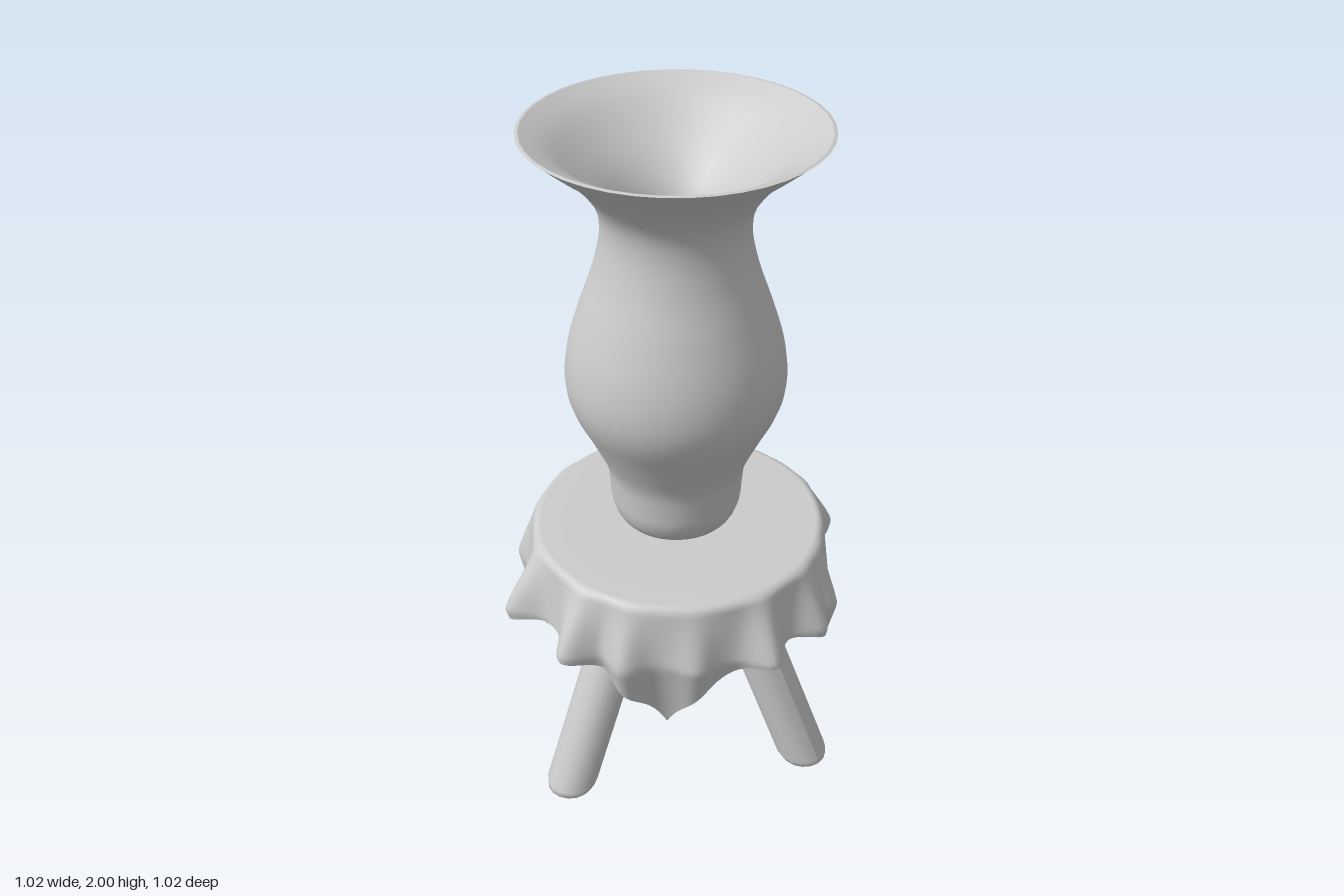
import * as THREE from 'three';

const grey = () => new THREE.MeshStandardMaterial({ color: 0xcccccc, side: THREE.DoubleSide });
const CX = -0.008, CZ = -0.01;

function smoothProfile(points, n) {
  return new THREE.SplineCurve(points.map(([r, y]) => new THREE.Vector2(r, y)))
    .getPoints(n).map(p => new THREE.Vector2(Math.max(p.x, 0), p.y));
}

function named(geometry, name) {
  const mesh = new THREE.Mesh(geometry, grey());
  mesh.name = name;
  return mesh;
}

// Thick-walled vase: outer bulge and an inner funnel that narrows at the neck
function makeVase() {
  const vase = new THREE.Group();
  vase.name = 'vase';
  const outer = smoothProfile([
    [0, 0.822], [0.1, 0.826], [0.155, 0.85], [0.18, 0.9], [0.186, 0.96], [0.196, 1.03], [0.24, 1.13],
    [0.283, 1.22], [0.299, 1.3], [0.289, 1.4], [0.253, 1.52], [0.215, 1.63], [0.195, 1.73],
    [0.207, 1.81], [0.265, 1.89], [0.33, 1.945], [0.393, 1.998]], 64);
  const inner = smoothProfile([
    [0.384, 2], [0.32, 1.965], [0.25, 1.91], [0.17, 1.84], [0.115, 1.77], [0.096, 1.7],
    [0.12, 1.59], [0.17, 1.45], [0.2, 1.3], [0.17, 1.18], [0.11, 1.05], [0.08, 0.96], [0, 0.93]], 52);
  const lip = [outer[outer.length - 1], inner[0]];
  vase.add(named(new THREE.LatheGeometry(outer, 40), 'vaseOuter'));
  vase.add(named(new THREE.LatheGeometry(inner, 40), 'vaseInner'));
  vase.add(named(new THREE.LatheGeometry(lip, 40), 'vaseLip'));
  vase.position.set(CX, 0, CZ);
  return vase;
}

// Splayed leg: a bevelled post, sheared outwards so that its foot stays flat
function makeLeg(angle) {
  const profile = [[0, 0], [0.055, 0], [0.069, 0.008], [0.076, 0.028], [0.076, 0.74], [0, 0.74]]
    .map(([r, y]) => new THREE.Vector2(r, y));
  const geometry = new THREE.LatheGeometry(profile, 16);
  const p = geometry.attributes.position;
  for (let i = 0; i < p.count; i++) {
    const reach = 0.422 - 0.4 * p.getY(i);
    p.setX(i, p.getX(i) + reach * Math.cos(angle));
    p.setZ(i, p.getZ(i) + reach * Math.sin(angle));
  }
  geometry.computeVertexNormals();
  const leg = named(geometry, 'leg');
  leg.position.set(CX, 0, CZ);
  return leg;
}

// Fold ridges round the cloth: [angle in degrees, reach beyond the hollows]
const FOLDS = [
  [1, 0.05], [13, 0.085], [61, 0.045], [74, 0.062], [98, 0.07], [124, 0.03], [149, 0.05], [169, 0.08],
  [199, 0.088], [230, 0.045], [256, 0.086], [273, 0.076], [284, 0.072], [300, 0.065], [329, 0.035], [345, 0.04]];

function foldAt(deg) {
  let reach = 0;
  for (const [a, amount] of FOLDS) {
    const d = ((deg - a + 540) % 360) - 180;
    reach = Math.max(reach, amount * Math.exp(-d * d / 40));
  }
  return reach;
}

// Square cloth draped over the round seat: flat top, rounded edge, hanging folds and corners
function makeCloth() {
  const rings = 30, sides = 240, flat = 6, R = 0.395, bend = 0.03, half = 0.61;
  const pos = [], index = [];
  for (let j = 0; j <= rings; j++) {
    for (let i = 0; i < sides; i++) {
      const a = i / sides * Math.PI * 2, c = Math.cos(a), s = Math.sin(a);
      let r, y = 0.82;
      if (j <= flat) r = R * j / flat;
      else {
        const hang = half / Math.max(Math.abs(c), Math.abs(s)) - 0.408;
        const d = hang * Math.pow((j - flat) / (rings - flat), 1.2);
        const t = Math.min(d / 0.2, 1), swell = t * t * (3 - 2 * t);
        const turn = Math.min(d / bend, 1) * Math.PI / 2;
        r = R + 0.02 * Math.sin(turn) + 0.025 * t + foldAt(a * 180 / Math.PI) * (0.6 * t + 0.4 * swell);
        r -= 0.24 * Math.max(d - 0.2, 0);
        y -= d < bend ? 0.02 * (1 - Math.cos(turn)) : 0.02 + (d - bend);
      }
      pos.push(r * c + CX * 0.5, y, r * s + CZ * 0.5);
      if (j < rings) {
        const k = (i + 1) % sides, p = j * sides + i, q = j * sides + k;
        if (j > 0) index.push(p, q, p + sides);
        index.push(q, q + sides, p + sides);
      }
    }
  }
  const geometry = new THREE.BufferGeometry();
  geometry.setAttribute('position', new THREE.Float32BufferAttribute(pos, 3));
  geometry.setIndex(index.reverse());
  geometry.computeVertexNormals();
  return named(geometry, 'tablecloth');
}

export function createModel() {
  const model = new THREE.Group();
  model.name = 'vaseOnStool';
  model.add(makeVase(), makeCloth());

  const seat = named(new THREE.CylinderGeometry(0.39, 0.39, 0.09, 40), 'seat');
  seat.position.set(CX, 0.768, CZ);
  model.add(seat);

  for (let i = 0; i < 3; i++) model.add(makeLeg(Math.PI + i * Math.PI * 2 / 3));
  return model;
}
